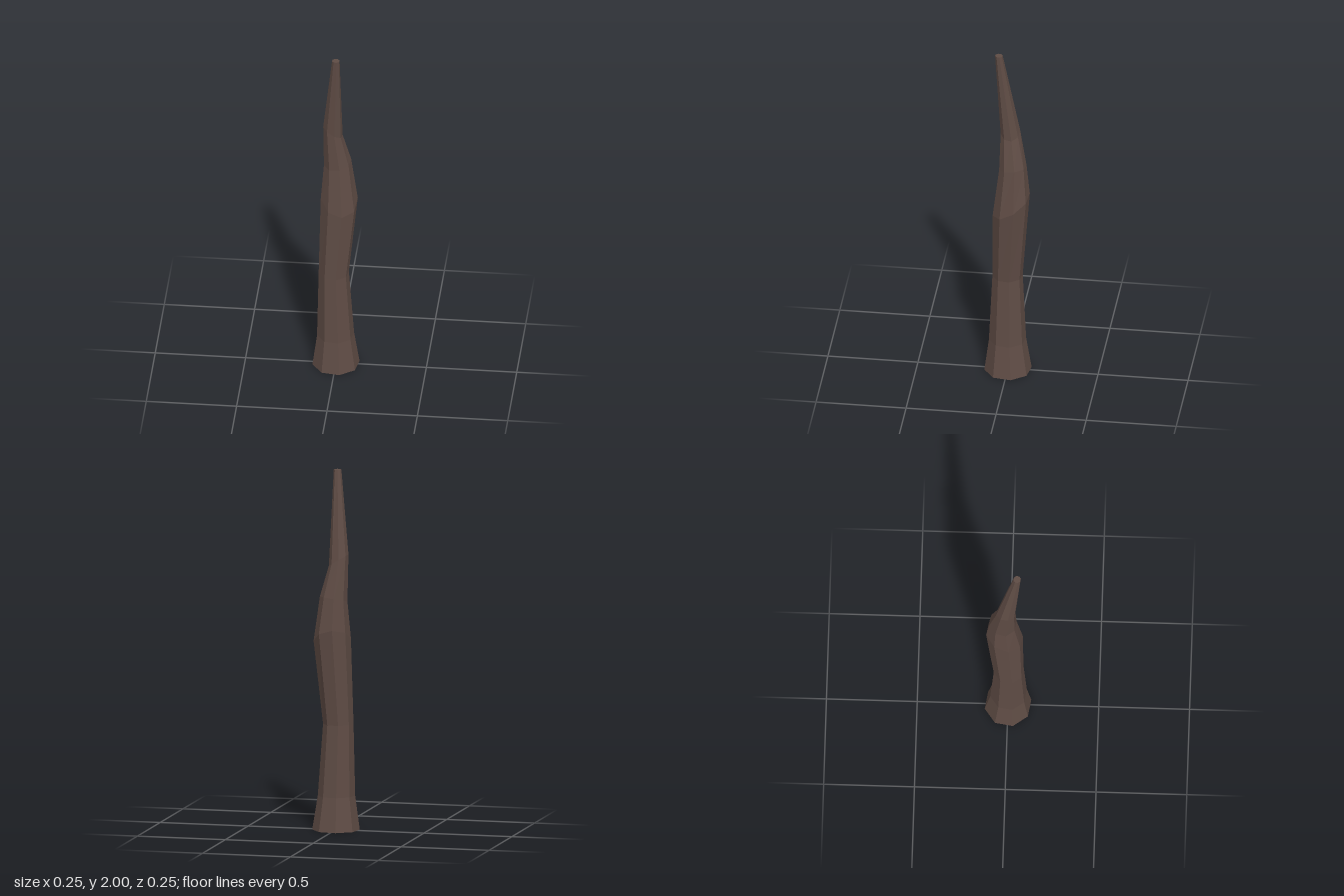
import * as THREE from 'three';

// Cross-sections from bottom to top: centre x, y, z, radius, and tilt (rise of y per unit x and z)
const RINGS = [
  [0, 0, 0, 0.131, 0, 0],
  [-0.002, 0.19, 0.003, 0.103, 0, 0],
  [-0.012, 0.59, 0.004, 0.084, 0, 0],
  [0.016, 1.06, -0.02, 0.103, -0.2, -0.6],
  [0.006, 1.29, -0.028, 0.076, 0.15, -0.15],
  [-0.018, 1.505, -0.011, 0.054, -0.6, 0],
  [0.004, 2, 0.05, 0.021, 0, 0],
];

// Eight-sided column whose rings are moved onto the cross-sections
function createTrunkGeometry() {
  const bands = RINGS.length - 1;
  const geometry = new THREE.CylinderGeometry(1, 1, bands, 8, bands, false, 0.235);
  const position = geometry.attributes.position;
  for (let i = 0; i < position.count; i++) {
    const [cx, cy, cz, r, tiltX, tiltZ] = RINGS[Math.round(position.getY(i) + bands / 2)];
    const dx = position.getX(i) * r;
    const dz = position.getZ(i) * r;
    position.setXYZ(i, cx + dx, cy + tiltX * dx + tiltZ * dz, cz + dz);
  }
  geometry.computeVertexNormals();
  return geometry;
}

export function createModel() {
  const model = new THREE.Group();
  model.name = 'bareTree';

  // Crooked tapering trunk
  const bark = new THREE.MeshStandardMaterial({ color: 0x5f4c45, flatShading: true });
  const trunk = new THREE.Mesh(createTrunkGeometry(), bark);
  trunk.name = 'trunk';
  model.add(trunk);

  return model;
}
